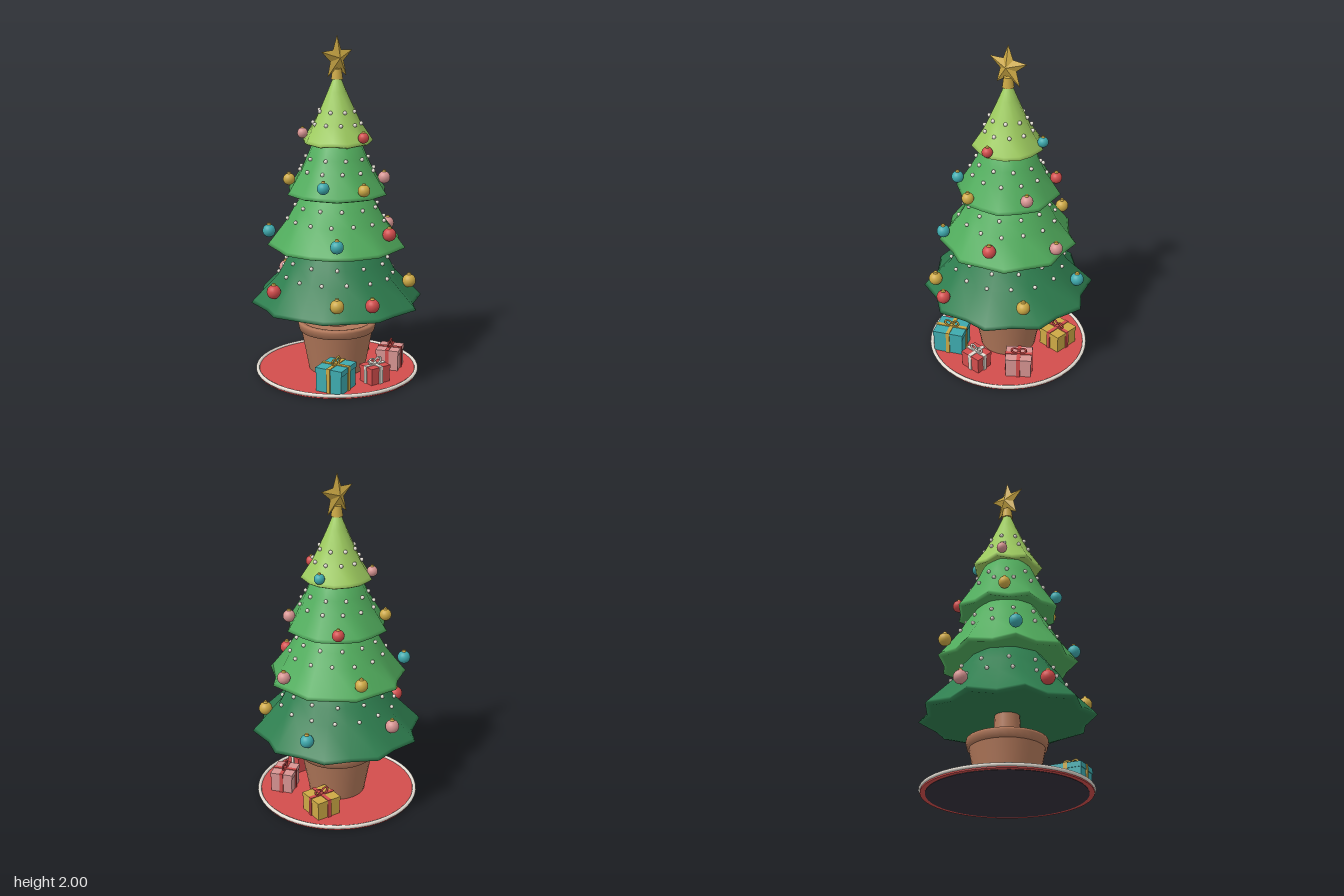
import * as THREE from 'three';
import { mergeVertices } from 'three/addons/utils/BufferGeometryUtils.js';

const mat = (name, color) => {
  const m = new THREE.MeshStandardMaterial({ color });
  m.name = name;
  return m;
};

export function createModel() {
  const darkGreen = mat('dark green', 0x2f7f50);
  const midGreen = mat('mid green', 0x52ae5e);
  const lime = mat('lime green', 0x9fcd60);
  const terracotta = mat('terracotta', 0xb2785a);
  const red = mat('red', 0xd24d4c);
  const teal = mat('teal', 0x3eaaae);
  const gold = mat('gold', 0xcda945);
  const pink = mat('pink', 0xd79492);
  const cream = mat('cream', 0xe4ded4);
  const charcoal = mat('charcoal', 0x35313c);

  const root = new THREE.Group();
  root.name = 'decoratedTree';
  const add = (parent, name, geometry, material, x = 0, y = 0, z = 0) => {
    const m = new THREE.Mesh(geometry, material);
    m.name = name;
    m.position.set(x, y, z);
    parent.add(m);
    return m;
  };
  const group = (name, parent = root) => {
    const g = new THREE.Group();
    g.name = name;
    parent.add(g);
    return g;
  };
  const lathe = (pts, seg) => new THREE.LatheGeometry(pts.map(p => new THREE.Vector2(...p)), seg);

  // Round mat with a rolled trim
  add(root, 'matUnderside', new THREE.CylinderGeometry(0.45, 0.45, 0.004, 48), charcoal, 0, 0.002, 0);
  add(root, 'mat', new THREE.CylinderGeometry(0.478, 0.478, 0.018, 48), red, 0, 0.011, 0);
  const trim = add(root, 'matTrim', new THREE.TorusGeometry(0.476, 0.011, 8, 48), cream, 0, 0.02, 0);
  trim.rotation.x = Math.PI / 2;

  // Pot with a thick rim, and the trunk
  add(root, 'pot', new THREE.CylinderGeometry(0.215, 0.168, 0.245, 32), terracotta, 0, 0.1425, 0);
  add(root, 'potRim', lathe([[0.2, 0.258], [0.225, 0.262], [0.233, 0.3], [0.23, 0.314], [0.205, 0.316],
    [0.2, 0.295], [0, 0.295]], 32), terracotta);
  add(root, 'trunk', new THREE.CylinderGeometry(0.07, 0.08, 0.24, 16), terracotta, 0, 0.40, 0);

  // Foliage tiers: lathed skirts whose rim is pulled into points.
  // Profile runs from the rim up; pearls are rows of [height, count, start angle].
  const tiers = [
    { n: 10, tip: 0, material: darkGreen,
      profile: [[0.51, 0.445], [0.495, 0.463], [0.35, 0.61], [0.30, 0.70], [0.24, 0.77], [0.12, 0.92]],
      pearls: [[0.70, 12, 0.26], [0.62, 15, 0.1]] },
    { n: 9, tip: Math.PI, material: midGreen,
      profile: [[0.41, 0.785], [0.395, 0.802], [0.29, 0.94], [0.245, 1.02], [0.195, 1.09], [0.08, 1.25]],
      pearls: [[1.025, 12, 0.15], [0.945, 14, Math.PI / 2]] },
    { n: 8, tip: Math.PI / 8, material: midGreen,
      profile: [[0.308, 1.10], [0.295, 1.117], [0.22, 1.235], [0.18, 1.31], [0.148, 1.38], [0.05, 1.5]],
      pearls: [[1.305, 10, 0.2], [1.235, 12, 0.12]] },
    { n: 7, tip: Math.PI / 2, material: lime,
      profile: [[0.21, 1.395], [0.199, 1.412], [0.14, 1.50], [0.105, 1.57], [0.055, 1.68], [0.024, 1.755], [0, 1.765]],
      pearls: [[1.57, 8, 0.35], [1.50, 10, Math.PI / 2]] },
  ];
  // 0 at a point of the rim, 1 at the notch between two points
  const notch = (t, a) => Math.acos(Math.max(-1, Math.min(1, Math.cos(t.n * (a - t.tip))))) / Math.PI;
  const pull = (t, r, a) => notch(t, a) * (r / t.profile[0][0]) ** 2;

  const pearlGeo = new THREE.SphereGeometry(0.0115, 10, 8);
  const pearls = group('pearls');
  tiers.forEach((t, i) => {
    const [R, y0] = t.profile[0];
    const under = [[0, y0 + 0.015], [R * 0.6, y0 + 0.01], [R * 0.93, y0 - 0.008]];
    let g = lathe([...under, ...t.profile], t.n * 2);
    // start the sweep on a point so that points and notches fall on vertices
    g.rotateY(Math.PI / 2 - t.tip);
    g.rotateY(-Math.PI);
    const p = g.attributes.position;
    for (let k = 0; k < p.count; k++) {
      const x = p.getX(k), z = p.getZ(k), w = pull(t, Math.hypot(x, z), Math.atan2(z, x));
      p.setXYZ(k, x * (1 - 0.11 * w), p.getY(k) - 0.012 * w, z * (1 - 0.11 * w));
    }
    g.deleteAttribute('uv');
    g.deleteAttribute('normal');
    g = mergeVertices(g, 1e-4);
    g.computeVertexNormals();
    add(root, 'foliageTier' + (i + 1), g, t.material);

    for (const [y, count, start] of t.pearls) {
      const j = t.profile.findIndex(q => q[1] >= y);
      const [ra, ya] = t.profile[j - 1], [rb, yb] = t.profile[j];
      const r = ra + (rb - ra) * (y - ya) / (yb - ya);
      for (let k = 0; k < count; k++) {
        const a = start + k / count * Math.PI * 2;
        const s = r * (1 - 0.11 * pull(t, r, a)) + 0.004;
        add(pearls, 'pearl', pearlGeo, cream, Math.cos(a) * s, y, Math.sin(a) * s);
      }
    }
  });

  // Baubles: [material, x, y, z, radius]
  const baubles = [
    [red, 0, 1.435, 0.21, 0.031], [teal, 0.197, 1.44, -0.055, 0.031], [pink, -0.115, 1.435, -0.167, 0.031],
    [teal, -0.255, 1.172, 0.145, 0.035], [gold, -0.08, 1.155, 0.292, 0.035], [pink, 0.23, 1.17, 0.16, 0.036],
    [red, 0.2, 1.143, -0.204, 0.035], [gold, -0.18, 1.165, -0.215, 0.035],
    [teal, -0.275, 0.862, 0.273, 0.038], [red, 0.09, 0.88, 0.333, 0.039], [pink, 0.37, 0.856, 0.064, 0.038],
    [gold, 0.16, 0.87, -0.347, 0.038], [teal, -0.305, 0.87, -0.256, 0.038],
    [red, -0.405, 0.55, -0.11, 0.041], [red, -0.163, 0.535, 0.44, 0.04], [gold, -0.314, 0.535, 0.312, 0.04],
    [gold, 0.302, 0.555, 0.302, 0.04], [teal, 0.396, 0.535, -0.146, 0.04], [pink, -0.036, 0.565, -0.41, 0.04],
  ];
  for (const [m, x, y, z, r] of baubles) {
    const b = group('bauble');
    b.position.set(x, y, z);
    add(b, 'ball', new THREE.SphereGeometry(r, 20, 14), m);
    add(b, 'cap', new THREE.CylinderGeometry(r * 0.25, r * 0.37, r * 0.3, 12), gold, 0, r * 1.04, 0);
  }

  // Star on a small collar: two five-pointed pyramids back to back
  add(root, 'starCollar', new THREE.CylinderGeometry(0.026, 0.034, 0.06, 16), gold, 0, 1.78, 0);
  const tri = [], ring = [];
  for (let k = 0; k < 10; k++) {
    const a = Math.PI / 2 + k * Math.PI / 5, r = k % 2 ? 0.056 : 0.13;
    ring.push([Math.cos(a) * r, Math.sin(a) * r, 0]);
  }
  ring.forEach((a, k) => {
    const b = ring[(k + 1) % 10];
    tri.push(...a, ...b, 0, 0, 0.027, ...b, ...a, 0, 0, -0.027);
  });
  const starGeo = new THREE.BufferGeometry();
  starGeo.setAttribute('position', new THREE.Float32BufferAttribute(tri, 3));
  starGeo.computeVertexNormals();
  add(root, 'star', starGeo, gold, 0, 1.87, 0);

  // Wrapped gifts with crossed ribbons and a looped bow
  const gift = (name, paper, ribbon, x, z, w, h, d, turn) => {
    const g = group(name);
    g.position.set(x, 0.02, z);
    g.rotation.y = turn;
    const box = (n, m, bw, bh, bd, y) => add(g, n, new THREE.BoxGeometry(bw, bh, bd), m, 0, y, 0);
    box('box', paper, w, h, d, h / 2);
    box('lid', paper, w + 0.008, h * 0.22, d + 0.008, h * 0.89);
    box('ribbonAcross', ribbon, w + 0.014, h + 0.004, 0.022, h / 2 + 0.002);
    box('ribbonAlong', ribbon, 0.022, h + 0.004, d + 0.014, h / 2 + 0.002);
    for (const s of [-1, 1]) {
      const loop = add(g, 'bowLoop', new THREE.TorusGeometry(0.017, 0.0055, 6, 16), ribbon, s * 0.022, h + 0.021, 0);
      loop.scale.x = 1.25;
      loop.rotation.z = s * 0.4;
    }
    add(g, 'bowKnot', new THREE.SphereGeometry(0.011, 10, 8), ribbon, 0, h + 0.011, 0);
  };
  gift('tealGift', teal, gold, -0.255, 0.245, 0.18, 0.142, 0.16, 0.3);
  gift('redGift', red, cream, -0.015, 0.325, 0.13, 0.1, 0.11, -0.15);
  gift('pinkGift', pink, red, 0.225, 0.225, 0.15, 0.122, 0.13, 0.5);
  gift('goldGift', gold, red, 0.275, -0.14, 0.15, 0.112, 0.16, -0.2);

  return root;
}
